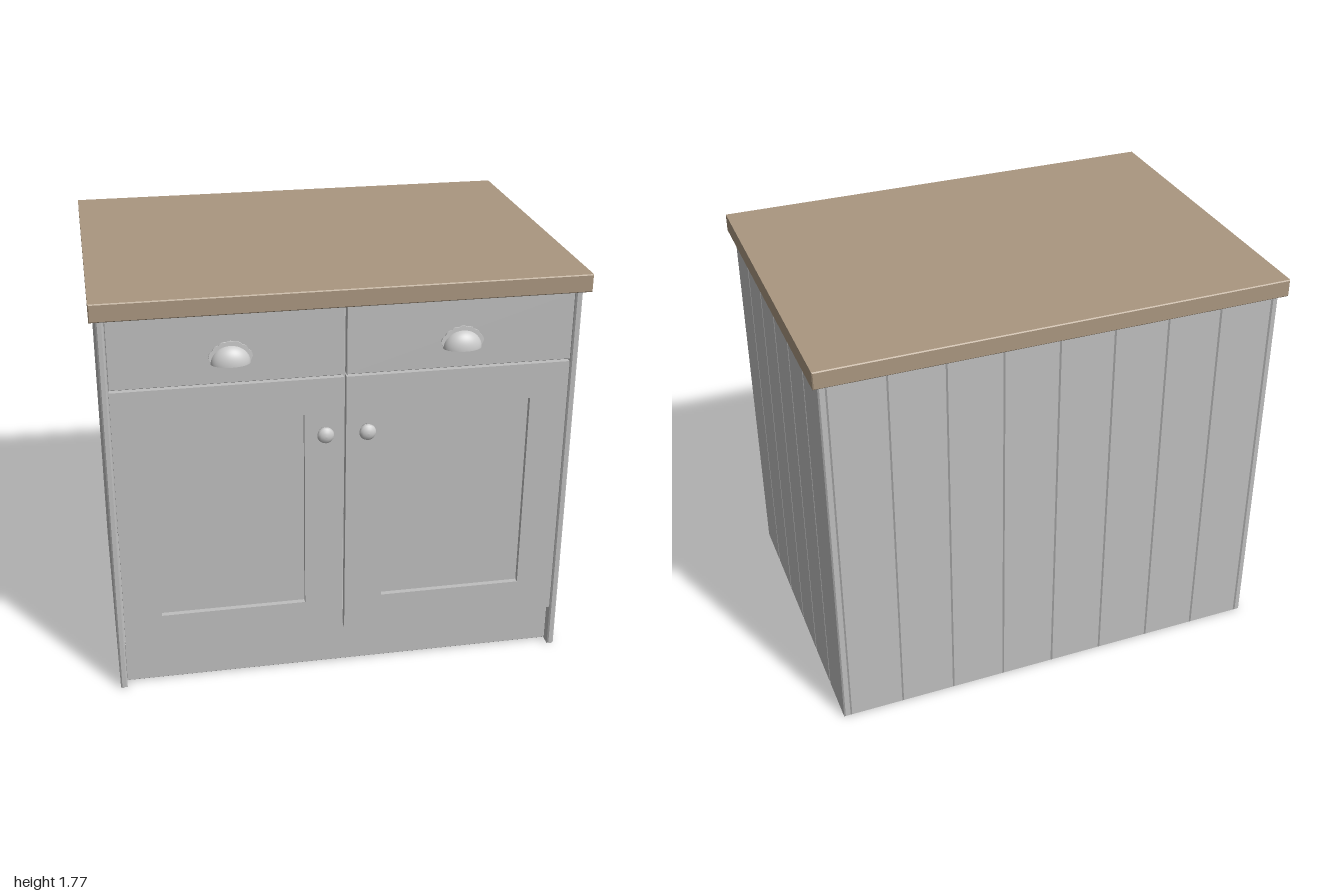
import * as THREE from 'three';

export function createModel() {
  const model = new THREE.Group();
  model.name = 'kitchenCabinet';

  const paint = new THREE.MeshStandardMaterial({ color: 0xbfbfbf });
  paint.name = 'greyPaint';
  const wood = new THREE.MeshStandardMaterial({ color: 0xaa9780 });
  wood.name = 'brownWorktop';
  const metal = new THREE.MeshStandardMaterial({ color: 0xcccccc, side: THREE.DoubleSide });
  metal.name = 'paleMetal';

  const add = (name, geometry, material, parent = model) => {
    const mesh = new THREE.Mesh(geometry, material);
    mesh.name = name;
    parent.add(mesh);
    return mesh;
  };

  const rect = (Type, x0, x1, y0, y1) => new Type([
    new THREE.Vector2(x0, y0), new THREE.Vector2(x1, y0),
    new THREE.Vector2(x1, y1), new THREE.Vector2(x0, y1),
  ]);

  // Board between two corners, with chamfered edges of width c
  const board = (x0, x1, y0, y1, z0, z1, c) => {
    const shape = rect(THREE.Shape, x0 + c, x1 - c, y0 + c, y1 - c);
    return new THREE.ExtrudeGeometry(shape, {
      depth: z1 - z0 - 2 * c, bevelThickness: c, bevelSize: c, bevelSegments: 1,
    }).translate(0, 0, z0 + c);
  };

  // Worktop
  add('worktop', board(-1, 1, 1.695, 1.77, -0.741, 0.72, 0.004), wood);

  // Tongue-and-groove planks of the two sides
  const sideFront = 0.684, sideBack = -0.707, sideCount = 6;
  const sideStep = (sideFront - sideBack) / sideCount;
  for (const s of [-1, 1]) {
    const side = new THREE.Group();
    side.name = s > 0 ? 'leftSide' : 'rightSide';
    model.add(side);
    for (let i = 0; i < sideCount; i++) {
      const z = sideBack + i * sideStep;
      const [x0, x1] = s > 0 ? [0.946, 0.975] : [-0.975, -0.946];
      add('sidePlank', board(x0, x1, 0, 1.692, z, z + sideStep, 0.006), paint, side);
    }
  }

  // Planks of the back
  const back = new THREE.Group();
  back.name = 'backPanel';
  model.add(back);
  const backCount = 8, backStep = 1.892 / backCount;
  for (let i = 0; i < backCount; i++) {
    const x = -0.946 + i * backStep;
    add('backPlank', board(x, x + backStep, 0, 1.692, -0.707, -0.678, 0.006), paint, back);
  }

  // Recessed plinth
  add('plinth', board(-0.946, 0.946, 0.006, 0.19, 0.605, 0.638, 0.002), paint);

  // Knob profile, turned about its axis
  const knobProfile = [
    [0, 0], [0.02, 0], [0.019, 0.004], [0.011, 0.009], [0.011, 0.018], [0.022, 0.022],
    [0.032, 0.029], [0.035, 0.038], [0.031, 0.048], [0.021, 0.055], [0.01, 0.0585], [0, 0.0595],
  ].map(([r, h]) => new THREE.Vector2(r, h));
  const knobGeometry = new THREE.LatheGeometry(knobProfile, 28).rotateX(Math.PI / 2);

  // Cup handle: quarter dome, open below, on a scalloped back plate
  const cupGeometry = new THREE.SphereGeometry(1, 32, 14, 0, Math.PI, 0, Math.PI / 2)
    .scale(0.08, 0.074, 0.052);
  const plateShape = new THREE.Shape();
  const steps = 56;
  for (let i = 0; i <= steps; i++) {
    const a = Math.PI * (0.09 + 0.82 * i / steps);
    const r = 0.96 + 0.04 * Math.abs(Math.sin(Math.PI * 7 * i / steps));
    const x = 0.095 * r * Math.cos(a), y = 0.093 * r * Math.sin(a);
    if (i === 0) plateShape.moveTo(x, y);
    else plateShape.lineTo(x, y);
  }
  plateShape.lineTo(-0.076, 0);
  plateShape.lineTo(0.076, 0);
  const plateGeometry = new THREE.ExtrudeGeometry(plateShape, { depth: 0.006, bevelEnabled: false });

  // Drawer and door on each side of the middle gap
  const front = 0.682;
  for (const s of [-1, 1]) {
    const word = s > 0 ? 'left' : 'right';
    const span = (a, b) => (s > 0 ? [a, b] : [-b, -a]);
    const [x0, x1] = span(0.005, 0.942);

    add(word + 'Drawer', board(x0, x1, 1.396, 1.688, 0.648, front, 0.002), paint);

    // Door frame with a sunken panel
    const door = new THREE.Group();
    door.name = word + 'Door';
    model.add(door);
    const frame = rect(THREE.Shape, x0, x1, 0.196, 1.386);
    const [p0, p1] = span(0.167, 0.782);
    frame.holes.push(rect(THREE.Path, p0, p1, 0.346, 1.232));
    add('doorFrame', new THREE.ExtrudeGeometry(frame, { depth: 0.034, bevelEnabled: false })
      .translate(0, 0, 0.648), paint, door);
    add('doorPanel', board(p0, p1, 0.346, 1.232, 0.648, 0.659, 0), paint, door);
    add('doorKnob', knobGeometry, metal, door).position.set(s * 0.087, 1.152, front);

    const handle = new THREE.Group();
    handle.name = word + 'CupHandle';
    handle.position.set(s > 0 ? 0.479 : -0.461, 1.481, front);
    model.add(handle);
    add('handleCup', cupGeometry, metal, handle);
    add('handlePlate', plateGeometry, metal, handle);
  }

  return model;
}
